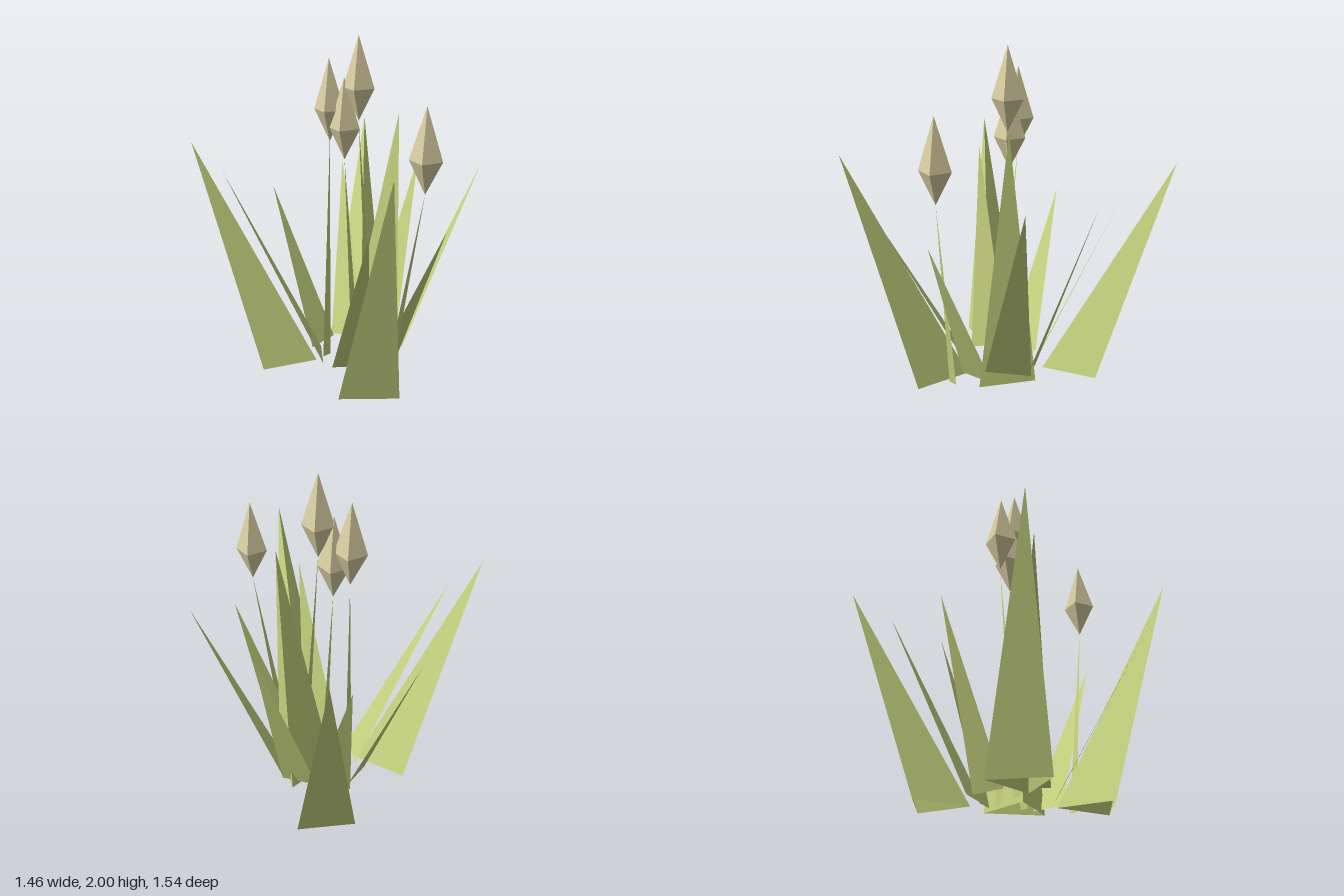
import * as THREE from 'three';

const leafGreen = new THREE.MeshStandardMaterial({ color: 0xc8d580, side: THREE.DoubleSide, flatShading: true });
leafGreen.name = 'leafGreen';
const seedTan = new THREE.MeshStandardMaterial({ color: 0xd9cea2, flatShading: true });
seedTan.name = 'seedTan';

function facets(triangles, material, name) {
  const geometry = new THREE.BufferGeometry();
  geometry.setAttribute('position', new THREE.Float32BufferAttribute(triangles.flat(2), 3));
  geometry.computeVertexNormals();
  const mesh = new THREE.Mesh(geometry, material);
  mesh.name = name;
  return mesh;
}

// Sides of a pyramid between a ring of corners and a tip
function sides(ring, tip, flip) {
  return ring.map((p, i) => {
    const q = ring[(i + 1) % ring.length];
    return flip ? [q, p, tip] : [p, q, tip];
  });
}

// Three-sided leaf, open below: two outer corners (x, z), the inner corner completes an even triangle
function largeLeaf(tip, a, b) {
  const mx = (a[0] + b[0]) / 2, mz = (a[1] + b[1]) / 2;
  const h = Math.sqrt(3) / 2;
  let nx = -(b[1] - a[1]) * h, nz = (b[0] - a[0]) * h;
  if (nx * (tip[0] - mx) + nz * (tip[2] - mz) > 0) { nx = -nx; nz = -nz; }
  const ring = [[a[0], 0, a[1]], [b[0], 0, b[1]], [mx + nx, 0, mz + nz]];
  // Wind the corners so that the faces look outward
  const turn = (b[0] - a[0]) * nz - (b[1] - a[1]) * nx;
  return facets(sides(ring, tip, turn > 0), leafGreen, 'largeLeaf');
}

// Flat leaf: a single blade from a base edge to a tip
function flatLeaf(tip, a, b) {
  return facets([[a, b, tip]], leafGreen, 'flatLeaf');
}

// Four-sided seed head with a long top and a short underside
function seedHead(x, top, z) {
  const y = top - 0.3;
  const ring = [[-0.05, -0.08], [-0.08, 0.05], [0.05, 0.08], [0.08, -0.05]].map(([dx, dz]) => [x + dx, y, z + dz]);
  return facets([...sides(ring, [x, top, z], false), ...sides(ring, [x, y - 0.19, z], true)], seedTan, 'seedHead');
}

// Thin flat stalk narrowing to a point under the seed head
function stalk(x, top, z, baseX, baseZ) {
  return facets([[[baseX - 0.03, 0, baseZ], [baseX + 0.03, 0, baseZ], [x, top - 0.49, z]]], leafGreen, 'stalk');
}

export function createModel() {
  const model = new THREE.Group();
  model.name = 'plant';
  const leaves = new THREE.Group();
  leaves.name = 'leaves';
  const heads = new THREE.Group();
  heads.name = 'seedHeads';

  // Large leaves: tip, then two outer base corners
  const largeLeaves = [
    [[-0.73, 1.4, -0.62], [-0.27, -0.49], [-0.53, -0.27]],
    [[0.73, 1.32, -0.77], [0.26, -0.555], [0.53, -0.34]],
    [[-0.44, 1.43, 0.77], [-0.4, 0.29], [-0.13, 0.515]],
    [[0.22, 1.56, 0.11], [0.29, -0.06], [0.11, 0.24]],
  ];
  for (const args of largeLeaves) leaves.add(largeLeaf(...args));

  // Flat leaves: tip, then the two ends of the base edge
  const flatLeaves = [
    [[-0.625, 1.24, -0.47], [-0.12, 0.04, -0.22], [-0.25, 0.04, -0.035]],
    [[-0.44, 1.08, 0.59], [-0.24, 0.04, 0.04], [-0.05, 0.04, 0.175]],
    [[0.65, 1.16, -0.155], [0.285, 0.02, 0.035], [0.185, 0.02, -0.17]],
    [[0.62, 1.24, 0.4], [0.31, 0.06, 0], [0.155, 0.12, 0.235]],
    [[0.11, 0.99, 0.615], [-0.07, 0.02, 0.21], [0.16, 0.02, 0.18]],
    [[-0.12, 1.0, -0.69], [-0.15, 0.02, -0.27], [0.06, 0.02, -0.31]],
    [[0.435, 1.08, -0.66], [0.07, 0.02, -0.345], [0.185, 0.02, -0.15]],
  ];
  for (const args of flatLeaves) leaves.add(flatLeaf(...args));

  // Seed head position, then the foot of its stalk
  const headList = [
    [0.05, 2.0, -0.05, 0.07, 0.05],
    [-0.03, 1.86, -0.22, -0.12, -0.16],
    [0, 1.76, -0.12, 0.08, -0.12],
    [0.05, 1.68, 0.5, -0.04, 0.32],
  ];
  for (const [x, top, z, baseX, baseZ] of headList) {
    heads.add(seedHead(x, top, z), stalk(x, top, z, baseX, baseZ));
  }

  model.add(leaves, heads);
  return model;
}
